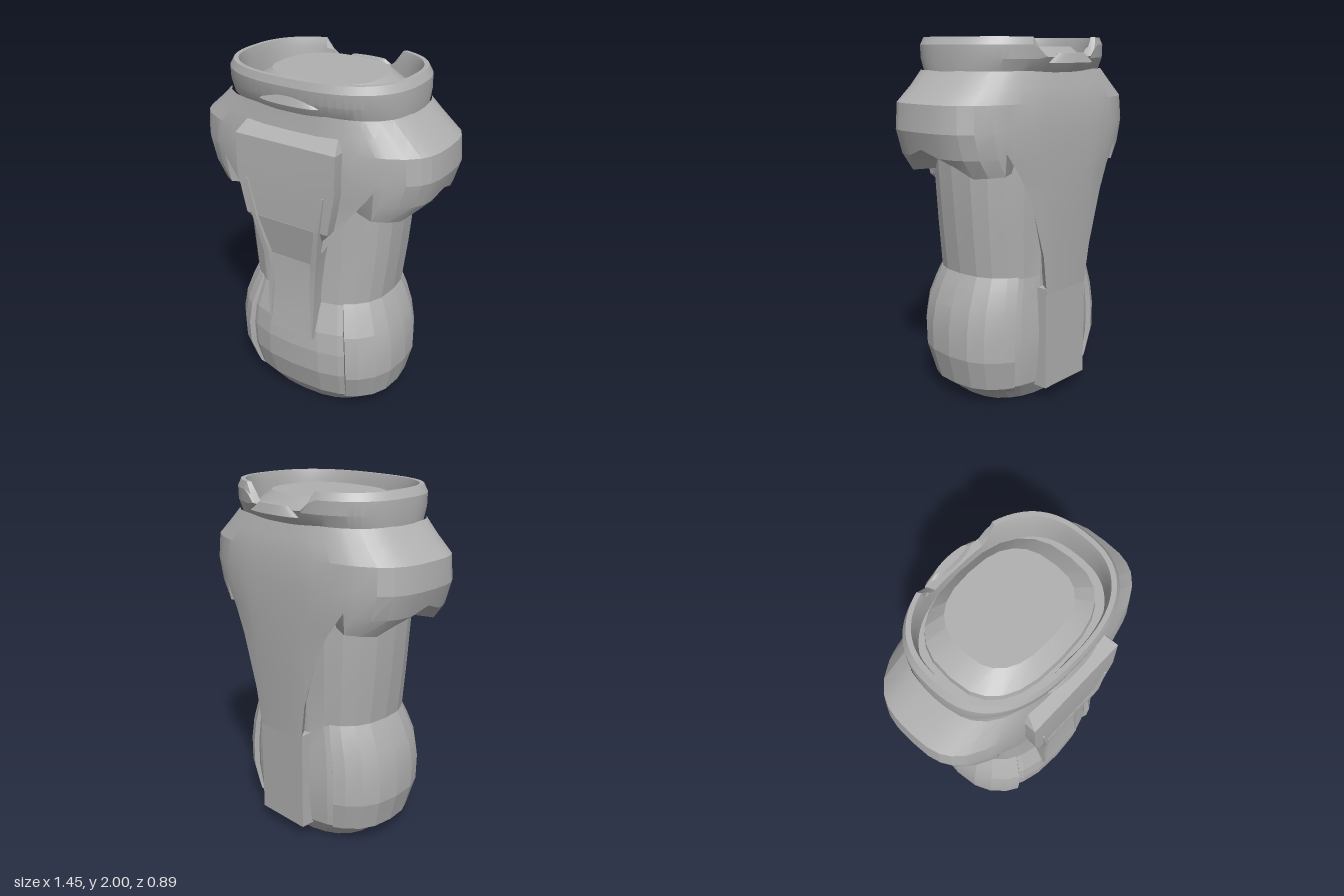
import * as THREE from 'three';
import { toCreasedNormals } from 'three/addons/utils/BufferGeometryUtils.js';

const RAD = Math.PI / 180;
const spow = (v, e) => Math.sign(v) * Math.pow(Math.abs(v), e);

// Piecewise linear lookup: rows sorted by their first entry
function lookup(rows, t) {
  if (t <= rows[0][0]) return rows[0].slice(1);
  for (let i = 1; i < rows.length; i++) {
    const a = rows[i - 1], b = rows[i];
    if (t <= b[0]) {
      const f = (t - a[0]) / (b[0] - a[0]);
      return a.slice(1).map((v, k) => v + (b[k + 1] - v) * f);
    }
  }
  return rows[rows.length - 1].slice(1);
}

// Point on a rounded-box ring; angle 0 is +x, 90 is +z
function ringPoint([hx, zf, zb], y, deg, n = 2.5) {
  const c = Math.cos(deg * RAD), s = Math.sin(deg * RAD);
  return [hx * spow(c, 2 / n), y, spow(s, 2 / n) * (s > 0 ? zf : -zb)];
}

// Closed cross-sections joined from the first row to the last
function loft(rows, cols, point, { start = false, end = false, crease = 0.2 } = {}) {
  const pos = [], idx = [];
  for (let r = 0; r < rows; r++) for (let i = 0; i < cols; i++) pos.push(...point(r, i));
  for (let r = 0; r < rows - 1; r++) {
    for (let i = 0; i < cols; i++) {
      const j = (i + 1) % cols, a = r * cols, b = a + cols;
      idx.push(a + i, b + i, a + j, b + i, b + j, a + j);
    }
  }
  const cap = (r, top) => {
    const centre = pos.length / 3, sum = [0, 0, 0];
    for (let i = 0; i < cols; i++) for (let k = 0; k < 3; k++) sum[k] += pos[(r * cols + i) * 3 + k] / cols;
    pos.push(...sum);
    for (let i = 0; i < cols; i++) {
      const a = r * cols + i, b = r * cols + (i + 1) % cols;
      if (top) idx.push(centre, b, a); else idx.push(centre, a, b);
    }
  };
  if (start) cap(0, false);
  if (end) cap(rows - 1, true);
  const g = new THREE.BufferGeometry();
  g.setAttribute('position', new THREE.Float32BufferAttribute(pos, 3));
  g.setIndex(idx);
  return toCreasedNormals(g, crease);
}

// Plate from rows of [y, x0, x1, zFront, zBack]
function slab(rows) {
  return loft(rows.length, 4, (r, i) => {
    const [y, x0, x1, zf, zb] = rows[r];
    return [i < 2 ? x1 : x0, y, i === 1 || i === 2 ? zf : zb];
  }, { start: true, end: true });
}

// Rows of [y, half width, front z, back z]
const BODY = [
  [0, 0.36, 0.28, -0.28], [0.1, 0.475, 0.35, -0.335], [0.27, 0.5, 0.4, -0.355],
  [0.42, 0.5, 0.408, -0.355], [0.55, 0.48, 0.395, -0.35], [0.72, 0.432, 0.34, -0.34],
  [1.0, 0.465, 0.333, -0.355], [1.3, 0.49, 0.333, -0.37], [1.75, 0.5, 0.34, -0.36],
];
const MANTLE = [
  [0.63, 0.5, 0.37, -0.402], [0.9, 0.52, 0.375, -0.412], [1.08, 0.54, 0.388, -0.42],
  [1.2, 0.56, 0.382, -0.423], [1.3, 0.61, 0.375, -0.425], [1.4, 0.685, 0.378, -0.425],
  [1.53, 0.725, 0.382, -0.422], [1.67, 0.715, 0.375, -0.41], [1.75, 0.62, 0.365, -0.39],
  [1.83, 0.535, 0.36, -0.365],
];
// Height of the mantle hem by angle, from the back round the side to the front
const HEM = [
  [-90, 0.63], [-79, 0.63], [-76, 0.85], [-67, 1.15], [-57, 1.43], [-51, 1.31], [-26, 1.3],
  [-17, 1.36], [0, 1.44], [17, 1.36], [26, 1.3], [51, 1.31], [57, 1.48], [77, 1.08], [90, 1.08],
];

export function createModel() {
  const model = new THREE.Group();
  const grey = new THREE.MeshStandardMaterial({ color: 0xb0b0b0 });
  grey.name = 'plain grey';
  const add = (name, geometry) => {
    const mesh = new THREE.Mesh(geometry, grey);
    mesh.name = name;
    model.add(mesh);
    return mesh;
  };

  // Waisted body
  add('body', loft(BODY.length, 24, (r, i) => ringPoint(BODY[r].slice(1), BODY[r][0], i * 15),
    { start: true, end: true, crease: 0.15 }));

  // Raised panels wrapping both sides of the lower body
  const hip = [[0.06, 1], [0.1, 1.03], [0.27, 1.06], [0.42, 1.06], [0.55, 1.055], [0.66, 1.04], [0.73, 1.005]];
  const arc = [-55, -45, -30, -15, 0, 15, 30, 45, 55];
  for (const turn of [0, 180]) {
    add(turn ? 'rightHipPanel' : 'leftHipPanel', loft(hip.length, arc.length * 2, (r, i) => {
      const outer = i < arc.length;
      const deg = outer ? arc[i] : arc[arc.length * 2 - 1 - i];
      const [y, scale] = hip[r];
      const size = lookup(BODY, y).map((v) => v * (outer ? scale : 0.9));
      return ringPoint(size, y, deg + turn);
    }, { start: true, end: true }));
  }

  // Shoulder mantle with a scalloped hem
  const side = [...new Set([...HEM.map((h) => h[0]), -84, -62, -38, -8, 8, 38, 67, 83])]
    .sort((a, b) => a - b);
  const around = [...side, ...side.slice(1, -1).map((d) => 180 - d).sort((a, b) => a - b)];
  const hemAt = (deg) => lookup(HEM, deg > 90 ? 180 - deg : deg)[0];
  add('mantle', loft(MANTLE.length + 1, around.length, (r, i) => {
    const deg = around[i], hem = hemAt(deg);
    if (r === 0) return ringPoint(lookup(BODY, hem).map((v) => v * 0.97), hem, deg);
    const y = Math.max(MANTLE[r - 1][0], hem);
    return ringPoint(lookup(MANTLE, y), y, deg, 3);
  }, { crease: 0.25 }));

  // Open collar, cut down at the back
  const collar = [
    [1.8, 0.51, 0.35, -0.355], [1.82, 0.538, 0.362, -0.37], [1.89, 0.543, 0.395, -0.405],
    [1.96, 0.54, 0.405, -0.41], [2, 0.515, 0.395, -0.4], [2, 0.49, 0.372, -0.378],
    [1.95, 0.48, 0.36, -0.365], [1.81, 0.478, 0.358, -0.362],
  ];
  add('collar', loft(collar.length, 72, (r, i) => {
    const deg = i * 5, fromBack = Math.abs(deg - 270);
    const top = lookup([[0, 1.89], [15, 1.9], [20, 1.94], [25, 2]], fromBack)[0];
    const [y, ...size] = collar[r];
    return ringPoint(size, Math.min(y, top), deg, 2.5);
  }, { crease: 0.3 }));

  // Tapered plug inside the collar
  const plug = [
    [1.83, 0.485, 0.365, -0.366], [1.83, 0.43, 0.315, -0.355], [1.87, 0.425, 0.31, -0.352],
    [1.95, 0.31, 0.232, -0.283],
  ];
  add('plug', loft(plug.length, 24, (r, i) => ringPoint(plug[r].slice(1), plug[r][0], i * 15, 2.6),
    { end: true }));

  // Small lips on the collar, front and back
  for (const [name, z] of [['frontLip', 0.375], ['backLip', -0.409]]) {
    const lip = add(name, toCreasedNormals(new THREE.CylinderGeometry(0.6, 1, 1, 20), 0.5));
    lip.scale.set(0.18, 0.05, 0.036);
    lip.position.set(0, 1.893, z);
  }

  // Chest plate
  add('chestPlate', slab([
    [1.15, -0.2, 0.2, 0.39, 0.32], [1.22, -0.26, 0.26, 0.428, 0.32], [1.45, -0.305, 0.305, 0.436, 0.32],
    [1.67, -0.308, 0.308, 0.43, 0.32], [1.73, -0.28, 0.28, 0.36, 0.32],
  ]));

  // Hanging tongue below the plate, with a fin along each edge
  add('tongue', slab([
    [0.51, -0.145, 0.145, 0.412, 0.3], [0.75, -0.145, 0.145, 0.385, 0.3],
    [0.98, -0.15, 0.15, 0.38, 0.3], [1.22, -0.2, 0.2, 0.431, 0.3],
  ]));
  const fin = [
    [0.51, 0.14, 0.147, 0.413, 0.3], [0.8, 0.125, 0.155, 0.4, 0.3], [1, 0.14, 0.175, 0.41, 0.3],
    [1.22, 0.187, 0.215, 0.444, 0.3], [1.43, 0.235, 0.245, 0.444, 0.3],
  ];
  add('leftFin', slab(fin));
  add('rightFin', slab(fin.map(([y, a, b, f, k]) => [y, -b, -a, f, k])));

  // Straight strip down the back
  add('backStrip', slab([
    [0.08, -0.17, 0.17, -0.25, -0.397], [0.66, -0.17, 0.17, -0.25, -0.395],
  ]));

  return model;
}
